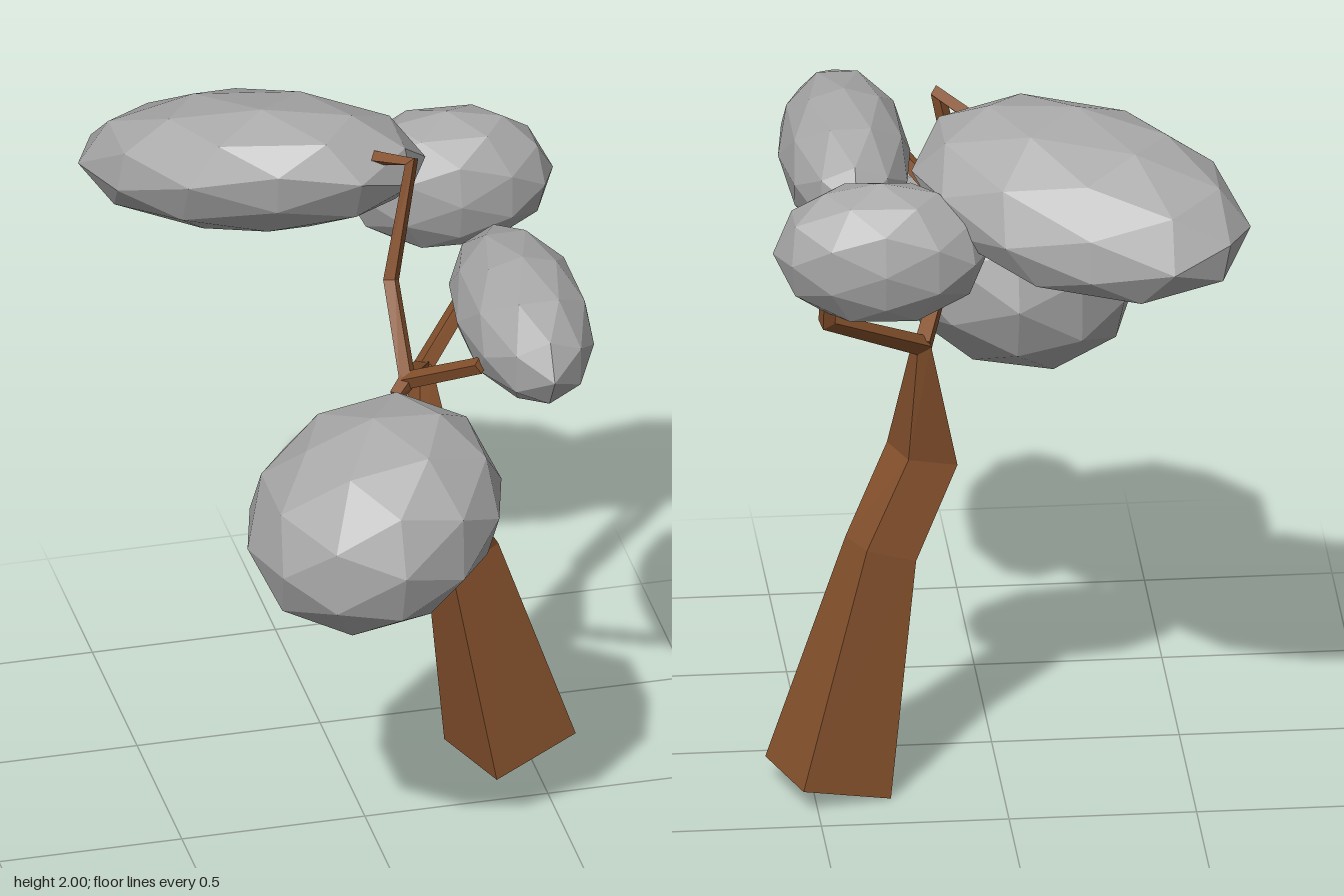
import * as THREE from 'three';

const V = (p) => new THREE.Vector3(...p);

// Skins a list of four-cornered rings (counter-clockwise about the growth direction), with end caps.
function loft(rings, material, name) {
  const pos = [];
  const quad = (a, b, c, d) => [a, b, c, a, c, d].forEach((p) => pos.push(p.x, p.y, p.z));
  for (let r = 0; r < rings.length - 1; r++) {
    const lo = rings[r], hi = rings[r + 1];
    for (let i = 0; i < 4; i++) {
      const j = (i + 1) % 4;
      quad(lo[i], lo[j], hi[j], hi[i]);
    }
  }
  const first = rings[0], last = rings[rings.length - 1];
  quad(first[3], first[2], first[1], first[0]);
  quad(last[0], last[1], last[2], last[3]);
  const geo = new THREE.BufferGeometry();
  geo.setAttribute('position', new THREE.Float32BufferAttribute(pos, 3));
  geo.computeVertexNormals();
  const mesh = new THREE.Mesh(geo, material);
  mesh.name = name;
  return mesh;
}

// Square-section branch along a bent path, mitred at each bend.
function branch(path, startWidth, endWidth, material, name) {
  const pts = path.map(V);
  const n = pts.length;
  let u = null;
  const rings = pts.map((p, k) => {
    const t = new THREE.Vector3();
    if (k > 0) t.add(p.clone().sub(pts[k - 1]).normalize());
    if (k < n - 1) t.add(pts[k + 1].clone().sub(p).normalize());
    t.normalize();
    if (!u) u = new THREE.Vector3(0.3, 0.1, -0.9).cross(t);
    u.addScaledVector(t, -u.dot(t)).normalize();
    const v = t.clone().cross(u);
    const h = THREE.MathUtils.lerp(startWidth, endWidth, k / (n - 1)) / 2;
    return [[1, 1], [-1, 1], [-1, -1], [1, -1]].map(([a, b]) =>
      p.clone().addScaledVector(u, a * h).addScaledVector(v, b * h));
  });
  return loft(rings, material, name);
}

// Faceted ellipsoid from its half extents and tilt terms (xy, xz, yz).
function foliage(center, [hx, hy, hz], [xy, xz, yz], material, name) {
  const b = xy / hx, c = xz / hx;
  const d = Math.sqrt(hy * hy - b * b);
  const e = (yz - b * c) / d;
  const f = Math.sqrt(hz * hz - c * c - e * e);
  const geo = new THREE.IcosahedronGeometry(1.02, 1);
  geo.applyMatrix4(new THREE.Matrix4().set(hx, 0, 0, 0, b, d, 0, 0, c, e, f, 0, 0, 0, 0, 1));
  geo.computeVertexNormals();
  const mesh = new THREE.Mesh(geo, material);
  mesh.position.set(...center);
  mesh.name = name;
  return mesh;
}

export function createModel() {
  const bark = new THREE.MeshStandardMaterial({ color: 0x85512d });
  bark.name = 'bark brown';
  const leaf = new THREE.MeshStandardMaterial({ color: 0xa8a8a8 });
  leaf.name = 'foliage grey';
  const tree = new THREE.Group();
  tree.name = 'tree';

  // Crooked tapering trunk
  const trunkRings = [
    [[0.385, 0, -0.10], [0.62, 0.065, -0.18], [0.54, 0.065, -0.42], [0.30, 0, -0.34]],
    [[0.27, 0.635, -0.12], [0.405, 0.69, -0.165], [0.36, 0.705, -0.30], [0.225, 0.65, -0.255]],
    [[0.15, 0.872, -0.015], [0.285, 0.915, -0.065], [0.24, 0.92, -0.20], [0.105, 0.878, -0.15]],
    [[0.19, 1.25, -0.16], [0.225, 1.26, -0.17], [0.215, 1.26, -0.21], [0.18, 1.25, -0.20]],
  ].map((ring) => ring.map(V));
  tree.add(loft(trunkRings, bark, 'trunk'));

  // Branches
  const fork = [0.2, 1.245, -0.185], node = [0.07, 1.445, 0.19];
  tree.add(
    branch([fork, [0.482, 1.45, -0.46], [0.48, 1.56, -0.49]], 0.04, 0.032, bark, 'backBranch'),
    branch([fork, node, [0.03, 1.42, 0.225]], 0.04, 0.03, bark, 'frontBranch'),
    branch([node, [0.225, 1.575, 0.375]], 0.034, 0.032, bark, 'sideTwig'),
    branch([node, [0.085, 1.61, -0.055], [0.152, 1.94, -0.1], [0.07, 1.91, -0.195]],
      0.034, 0.03, bark, 'tallBranch'),
  );

  // Foliage clumps
  tree.add(
    foliage([-0.195, 1.783, -0.467], [0.43, 0.217, 0.333], [0.014, 0.062, 0.028], leaf, 'topFoliage'),
    foliage([0.34, 1.653, -0.475], [0.28, 0.197, 0.17], [0, 0.005, 0], leaf, 'backFoliage'),
    foliage([0.372, 1.628, 0.228], [0.173, 0.18, 0.368], [0, 0, 0.002], leaf, 'sideFoliage'),
    foliage([-0.083, 1.202, 0.447], [0.34, 0.287, 0.352], [0.02, 0, -0.004], leaf, 'frontFoliage'),
  );
  return tree;
}
